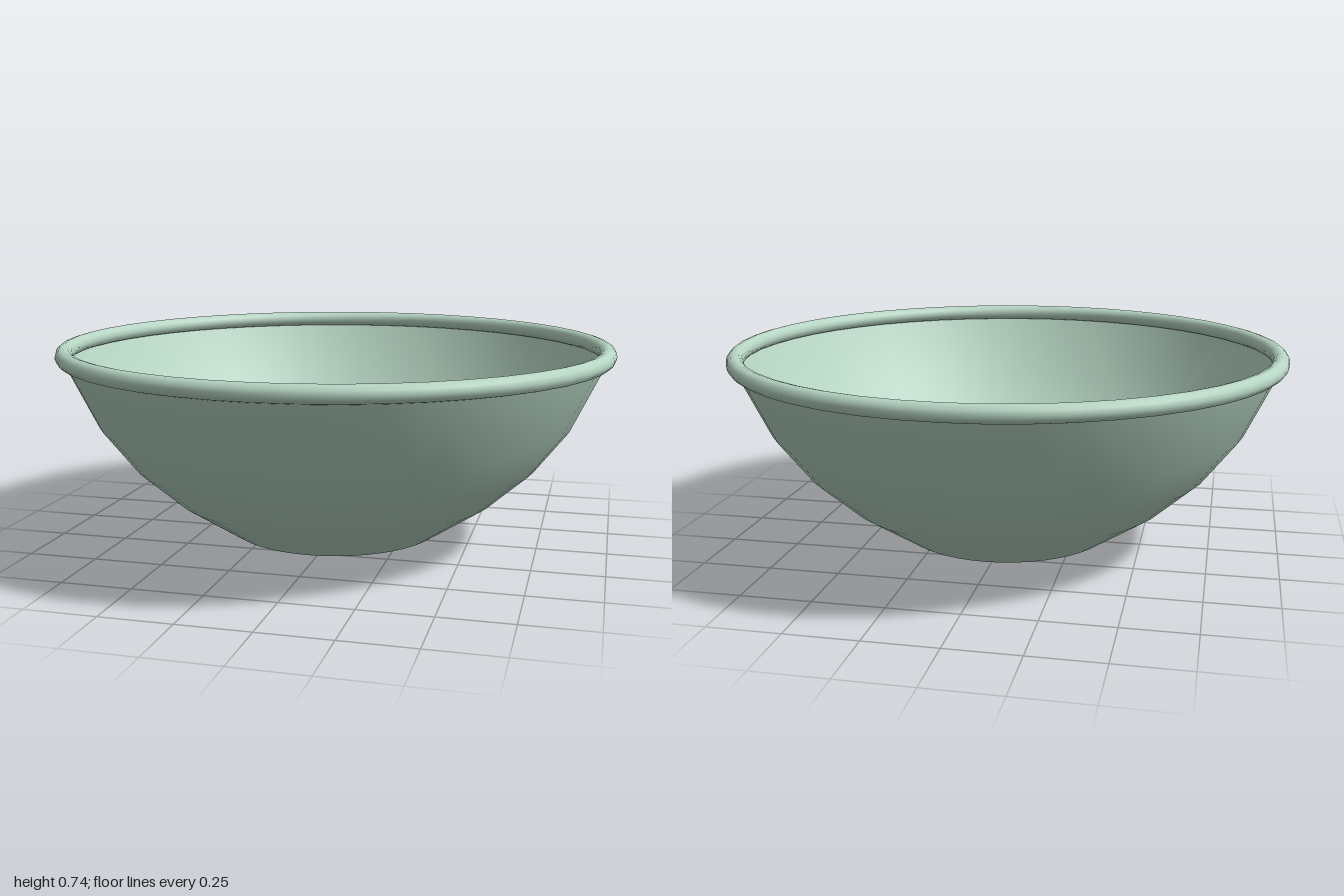
import * as THREE from 'three';

export function createModel() {
  const group = new THREE.Group();
  group.name = 'bowl';
  const glaze = new THREE.MeshStandardMaterial({ color: 0xb7d6c4, side: THREE.DoubleSide });
  glaze.name = 'pale green glaze';

  // Thin curved wall with a nearly flat foot, from the centre up into the rim
  const profile = [
    [0, 0], [0.16, 0.002], [0.3, 0.012], [0.39, 0.04], [0.6, 0.18],
    [0.74, 0.305], [0.86, 0.46], [0.965, 0.68], [0.97, 0.71],
  ].map(([r, y]) => new THREE.Vector2(r, y));
  const wall = new THREE.Mesh(new THREE.LatheGeometry(profile, 48), glaze);
  wall.name = 'bowlWall';

  // Rolled rim
  const rim = new THREE.Mesh(new THREE.TorusGeometry(0.97, 0.03, 12, 48), glaze);
  rim.name = 'rolledRim';
  rim.rotation.x = Math.PI / 2;
  rim.position.y = 0.71;

  group.add(wall, rim);
  return group;
}
